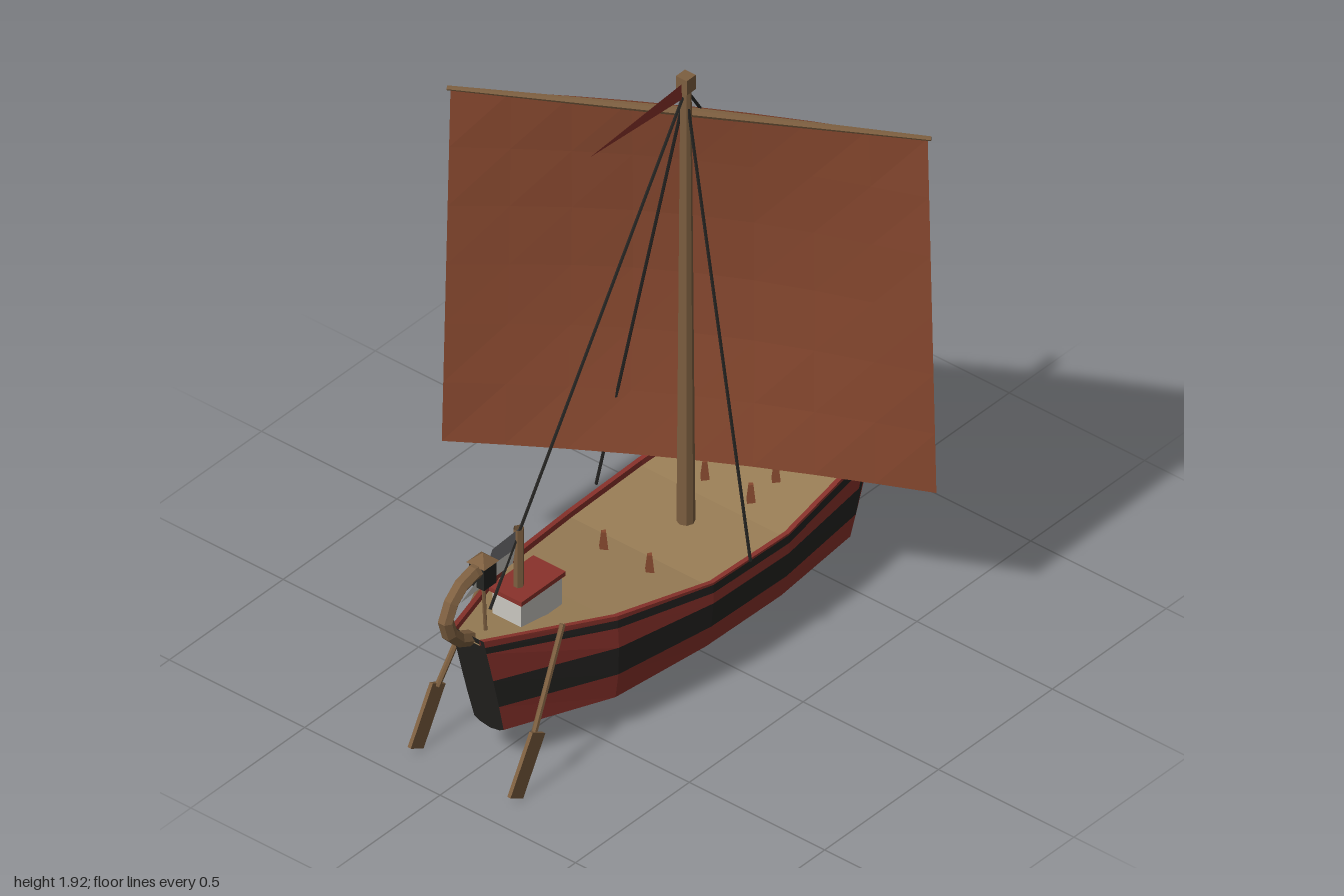
import * as THREE from 'three';

const V = (x, y, z) => new THREE.Vector3(x, y, z);
const lerp = THREE.MathUtils.lerp;
const mat = (color) => new THREE.MeshStandardMaterial({ color, flatShading: true, side: THREE.DoubleSide });
const RED = mat(0x8a322b), BLACK = mat(0x242321), WOOD = mat(0x7d5f40), DECK = mat(0x9b7f57),
  SAIL = mat(0x87482f), WHITE = mat(0xc9c7c0), GREY = mat(0x77777a), PEG = mat(0x86492f);

export function createModel() {
  const boat = new THREE.Group();
  boat.name = 'sailingBoat';

  const add = (name, geo, material, x = 0, y = 0, z = 0, parent = boat) => {
    const m = new THREE.Mesh(geo, material);
    m.name = name;
    m.position.set(x, y, z);
    parent.add(m);
    return m;
  };
  // surface through equal-length rows of points
  const loft = (name, rows, material) => {
    const n = rows[0].length, index = [];
    for (let r = 0; r < rows.length - 1; r++) for (let i = 0; i < n - 1; i++) {
      const a = r * n + i, b = a + n;
      index.push(a, a + 1, b, a + 1, b + 1, b);
    }
    const g = new THREE.BufferGeometry().setFromPoints(rows.flat());
    g.setIndex(index);
    g.computeVertexNormals();
    return add(name, g, material);
  };
  // round bar between two points
  const bar = (name, a, b, r0, r1, sides, material, open = false) => {
    const m = add(name, new THREE.CylinderGeometry(r1, r0, a.distanceTo(b), sides, 1, open), material);
    m.position.copy(a).lerp(b, 0.5);
    m.quaternion.setFromUnitVectors(V(0, 1, 0), b.clone().sub(a).normalize());
    return m;
  };
  const flat = (points) => new THREE.ShapeGeometry(new THREE.Shape(points.map(p => new THREE.Vector2(...p))));

  // hull stations: x at sheer, x at keel, sheer height, keel height, half width
  const stations = [
    [-0.88, -0.78, 0.5, 0.115, 0.06], [-0.47, -0.45, 0.43, 0.045, 0.21],
    [-0.12, -0.12, 0.378, 0.025, 0.27], [0.2, 0.2, 0.375, 0.025, 0.279],
    [0.56, 0.54, 0.41, 0.045, 0.24], [0.95, 0.87, 0.5, 0.115, 0.012]];
  // stripe edges amidships and at the ends, with their relative width
  const mid = [0, 0.14, 0.34, 0.56, 0.8, 0.9, 0.98, 1];
  const end = [0, 0.02, 0.05, 0.3, 0.58, 0.87, 0.935, 1];
  const width = [0.05, 0.6, 0.9, 0.97, 1, 1, 1, 1];
  const hullRow = (level, side) => stations.map(([xt, xb, s, k, w]) => {
    const f = lerp(mid[level], end[level], (s - 0.375) / 0.125);
    return V(lerp(xb, xt, f), lerp(k, s, f), side * w * width[level]);
  });
  const stripes = [[0, 2, BLACK, 'hullBottom'], [2, 3, RED, 'lowerRedStripe'], [3, 4, BLACK, 'blackStripe'],
    [4, 5, RED, 'upperRedStripe'], [5, 6, BLACK, 'thinBlackStripe'], [6, 7, RED, 'gunwale']];
  for (const side of [1, -1]) {
    for (const [a, b, m, name] of stripes) {
      const rows = [];
      for (let l = a; l <= b; l++) rows.push(hullRow(l, side));
      loft(name, rows, m);
    }
    // rail top and inner bulwark
    const inner = (drop) => stations.map(([x, , s, , w]) => V(x, s - drop, side * Math.max(w - 0.015, 0)));
    loft('rail', [hullRow(7, side), inner(0), inner(0.02)], RED);
  }
  // keel strip, transom and stem face
  loft('keel', [hullRow(0, 1), hullRow(0, -1)], BLACK);
  for (const [i, name] of [[0, 'transom'], [5, 'stemFace']])
    loft(name, mid.map((_, l) => [hullRow(l, 1)[i], hullRow(l, -1)[i]]), BLACK);
  // deck
  loft('deck', [1, -1].map(s => stations.map(([x, , y, , w]) => V(x, y - 0.02, s * Math.max(w - 0.014, 0)))), DECK);

  // bow and stern posts
  const bowPath = [V(0.945, 0.48, 0), V(0.968, 0.54, 0), V(0.968, 0.59, 0), V(0.976, 0.63, 0)];
  for (let i = 0; i < 3; i++) bar('bowPost', bowPath[i], bowPath[i + 1], 0.026 - i * 0.003, 0.024 - i * 0.003, 6, RED);
  const sternCurve = new THREE.CatmullRomCurve3([V(-0.87, 0.48, 0), V(-0.94, 0.52, 0), V(-0.975, 0.6, 0),
    V(-0.925, 0.675, 0), V(-0.86, 0.7, 0), V(-0.8, 0.695, 0)]);
  add('sternPost', new THREE.TubeGeometry(sternCurve, 7, 0.024, 6), WOOD);

  // mast, cap and pennant
  bar('mast', V(0.08, 0.35, 0), V(0.08, 1.9, 0), 0.027, 0.016, 8, WOOD);
  add('mastCap', new THREE.BoxGeometry(0.04, 0.05, 0.04), WOOD, 0.08, 1.895, 0);
  add('pennant', flat([[0.07, 1.9], [-0.34, 1.87], [0.07, 1.845]]), RED);

  // braced yard and bellied sail
  const along = V(0.5, 0, 0.866), out = V(0.866, 0, -0.5), centre = V(0.1, 0, -0.005);
  const onSail = (t, y, b) => centre.clone().addScaledVector(along, t).addScaledVector(out, b).setY(y);
  for (const s of [1, -1]) bar('yard', onSail(0, 1.778, 0), onSail(s * 0.695, 1.773, 0), 0.014, 0.007, 6, WOOD);
  const sailRows = [];
  for (let r = 0; r <= 6; r++) {
    const v = r / 6, row = [];
    for (let c = 0; c <= 8; c++) {
      const u = c / 8, belly = Math.sin(Math.PI * u) * (0.035 + 0.05 * Math.sin(Math.PI * v));
      row.push(onSail((u * 2 - 1) * lerp(0.685, 0.71, v), lerp(1.772, 0.53, v), belly));
    }
    sailRows.push(row);
  }
  loft('sail', sailRows, SAIL);

  // rigging
  const top = V(0.08, 1.87, 0);
  for (const [name, p] of [['forestay', V(0.94, 0.49, 0)], ['backstay', V(-0.78, 0.53, 0)],
    ['shroud', V(0.025, 0.38, 0.285)], ['shroud', V(0.025, 0.38, -0.285)]])
    bar(name, top, p, 0.005, 0.005, 5, BLACK);

  // cabin with flag pole and flag
  add('cabin', new THREE.BoxGeometry(0.18, 0.1, 0.105), WHITE, -0.617, 0.48, 0);
  add('cabinRoof', new THREE.BoxGeometry(0.195, 0.015, 0.12), RED, -0.617, 0.537, 0);
  bar('flagPole', V(-0.655, 0.52, 0), V(-0.655, 0.745, 0), 0.016, 0.016, 6, WOOD, true);
  add('flagTop', flat([[-0.655, 0.742], [-0.77, 0.735], [-0.8, 0.68], [-0.67, 0.68]]), GREY);
  add('flagBottom', flat([[-0.67, 0.68], [-0.8, 0.68], [-0.91, 0.625], [-0.68, 0.635]]), WHITE);

  // stern lantern
  bar('lanternStand', V(-0.8, 0.47, 0), V(-0.81, 0.65, 0), 0.006, 0.006, 5, WOOD);
  add('lantern', new THREE.BoxGeometry(0.055, 0.08, 0.055), BLACK, -0.812, 0.68, 0);
  add('lanternRoof', new THREE.ConeGeometry(0.047, 0.03, 4).rotateY(Math.PI / 4), WOOD, -0.812, 0.732, 0);

  // belaying pegs
  for (const [x, y] of [[-0.18, 0.39], [0.265, 0.385], [0.375, 0.395]]) for (const s of [1, -1])
    add('peg', new THREE.CylinderGeometry(0.009, 0.019, 0.07, 4), PEG, x, y, s * 0.085);

  for (const s of [1, -1]) {
    // steering oars
    const grip = V(-0.64, 0.47, s * 0.15), neck = V(-0.8, 0.187, s * 0.178);
    bar('oarShaft', grip, neck, 0.009, 0.009, 6, WOOD);
    const blade = add('oarBlade', new THREE.BoxGeometry(0.064, 0.2, 0.012), WOOD, -0.84, 0.104, s * 0.184);
    blade.rotation.set(0, 0, -0.51);

    // painted eyes on the bow
    const eye = new THREE.Group();
    eye.name = 'bowEye';
    const outline = [[-0.115, 0], [-0.05, 0.036], [0.05, 0.036], [0.115, 0], [0.05, -0.036], [-0.05, -0.036]];
    add('eyeWhite', flat(outline), WHITE, 0, 0, 0, eye);
    add('pupil', new THREE.BoxGeometry(0.055, 0.055, 0.012), BLACK, 0.008, 0, s * 0.002, eye);
    eye.position.set(0.745, 0.35, s * 0.14);
    eye.rotation.y = s * 0.56;
    boat.add(eye);
  }
  return boat;
}
